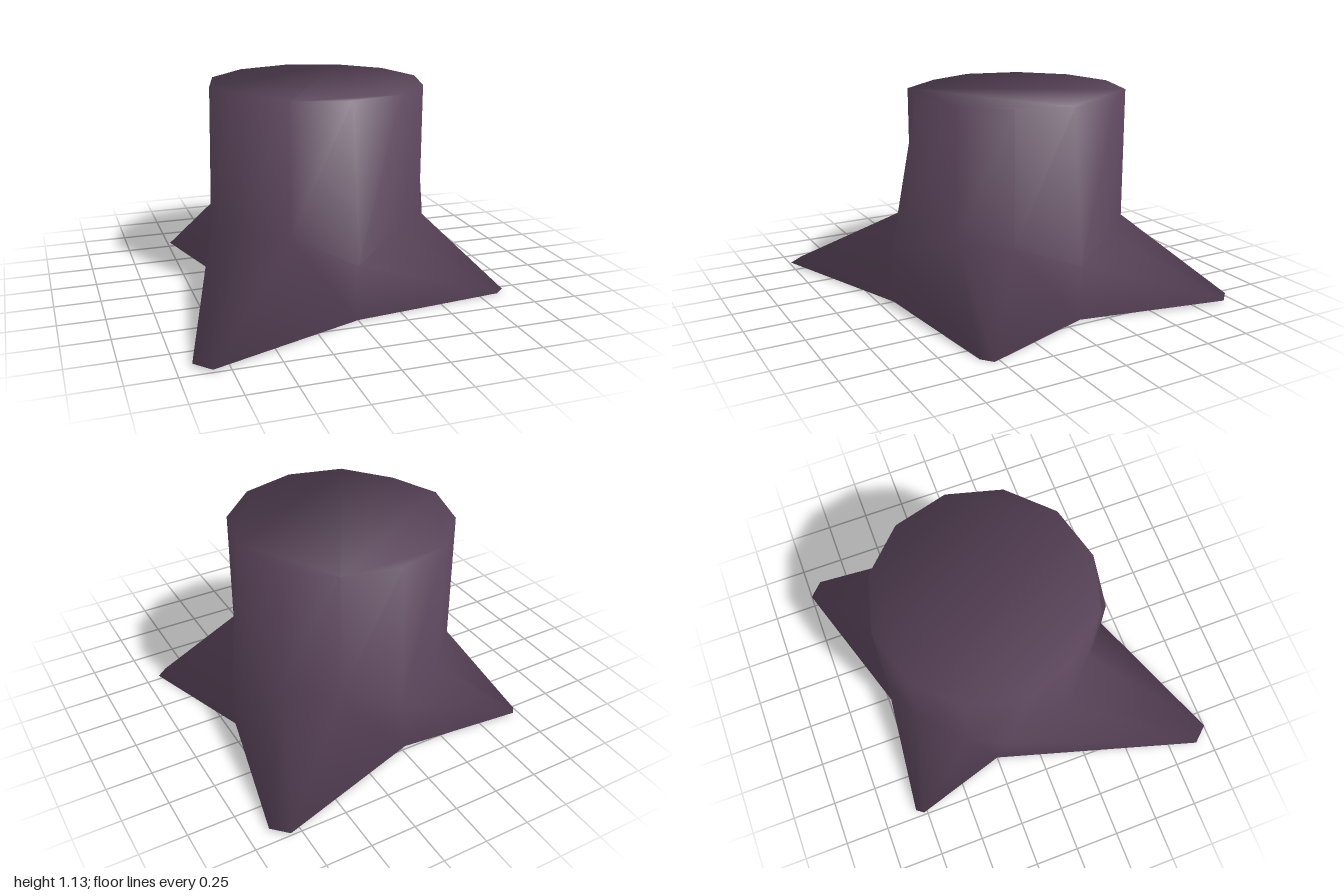
import * as THREE from 'three';

const COLS = 12; // columns run from +x round through the front (+z)

// Trunk outline at one column
const trunk = (k) => {
  const a = (k * Math.PI) / 6;
  return [0.015 + 0.607 * Math.cos(a), -0.095 + 0.607 * Math.sin(a)];
};
const outline = (special) => Array.from({ length: COLS }, (_, k) => special[k] ?? trunk(k));

// Rings of the stump: heights and [x, z] outline, with the upward tilt of the smooth normals
const rings = [
  // Cut rim, with one chipped corner
  { tilt: 0.45, height: () => 1.13, points: outline({ 5: [-0.485, 0.18] }) },
  // Top of the flare: the trunk swells out in the valleys between roots
  { tilt: 0.2, height: (k) => (k % 3 ? 0.4 : 0.3), points: outline({
    0: [0.7, -0.1], 3: [0, 0.67], 6: [-0.59, -0.18], 9: [0, -0.72] }) },
  // Ground: valleys on every third column, blunt root tips between them
  { tilt: -0.2, height: (k) => (k > 3 && k % 3 ? 0.015 : 0), points: [
    [0.7, -0.1], [0.92, 0.53], [0.86, 0.58], [0, 0.67], [-0.84, 1], [-0.92, 0.91],
    [-0.58, -0.25], [-0.74, -0.77], [-0.71, -0.81], [-0.03, -0.73], [0.81, -1], [0.89, -0.92]] },
];

// Flat cut on top, as triangles between rim columns
const cutFaces = [
  [0, 1, 2], [2, 3, 4], [0, 2, 4], [6, 7, 8], [8, 9, 10], [6, 8, 10],
  [4, 5, 6], [10, 11, 0], [4, 6, 10], [4, 10, 0]];

function stumpGeometry() {
  const position = [], normal = [], index = [];
  for (const { tilt, height, points } of rings) {
    points.forEach(([x, z], k) => {
      const a = (k * Math.PI) / 6;
      const n = new THREE.Vector3(Math.cos(a), 0, Math.sin(a))
        .multiplyScalar(Math.sqrt(1 - tilt * tilt)).setY(tilt);
      position.push(x, height(k), z);
      normal.push(n.x, n.y, n.z);
    });
  }
  for (let k = 0; k < COLS; k++) {
    const next = (k + 1) % COLS;
    const rim = [k, next], flare = [COLS + k, COLS + next], ground = [2 * COLS + k, 2 * COLS + next];
    // Trunk wall
    index.push(rim[0], rim[1], flare[1], rim[0], flare[1], flare[0]);
    // Root flare
    index.push(flare[0], flare[1], ground[0], flare[1], ground[1], ground[0]);
  }
  // Top cut
  for (const [a, b, c] of cutFaces) index.push(a, c, b);
  // Underside: four roots and the middle
  const base = (k) => 2 * COLS + (k % COLS);
  for (let k = 0; k < COLS; k += 3) {
    index.push(base(k), base(k + 1), base(k + 2), base(k), base(k + 2), base(k + 3));
  }
  index.push(base(0), base(3), base(6), base(0), base(6), base(9));

  const geometry = new THREE.BufferGeometry();
  geometry.setAttribute('position', new THREE.Float32BufferAttribute(position, 3));
  geometry.setAttribute('normal', new THREE.Float32BufferAttribute(normal, 3));
  geometry.setIndex(index);
  return geometry;
}

export function createModel() {
  const bark = new THREE.MeshStandardMaterial({ color: 0x5c465c });
  bark.name = 'purple bark';
  const stump = new THREE.Mesh(stumpGeometry(), bark);
  stump.name = 'treeStump';
  const group = new THREE.Group();
  group.name = 'stump';
  group.add(stump);
  return group;
}
